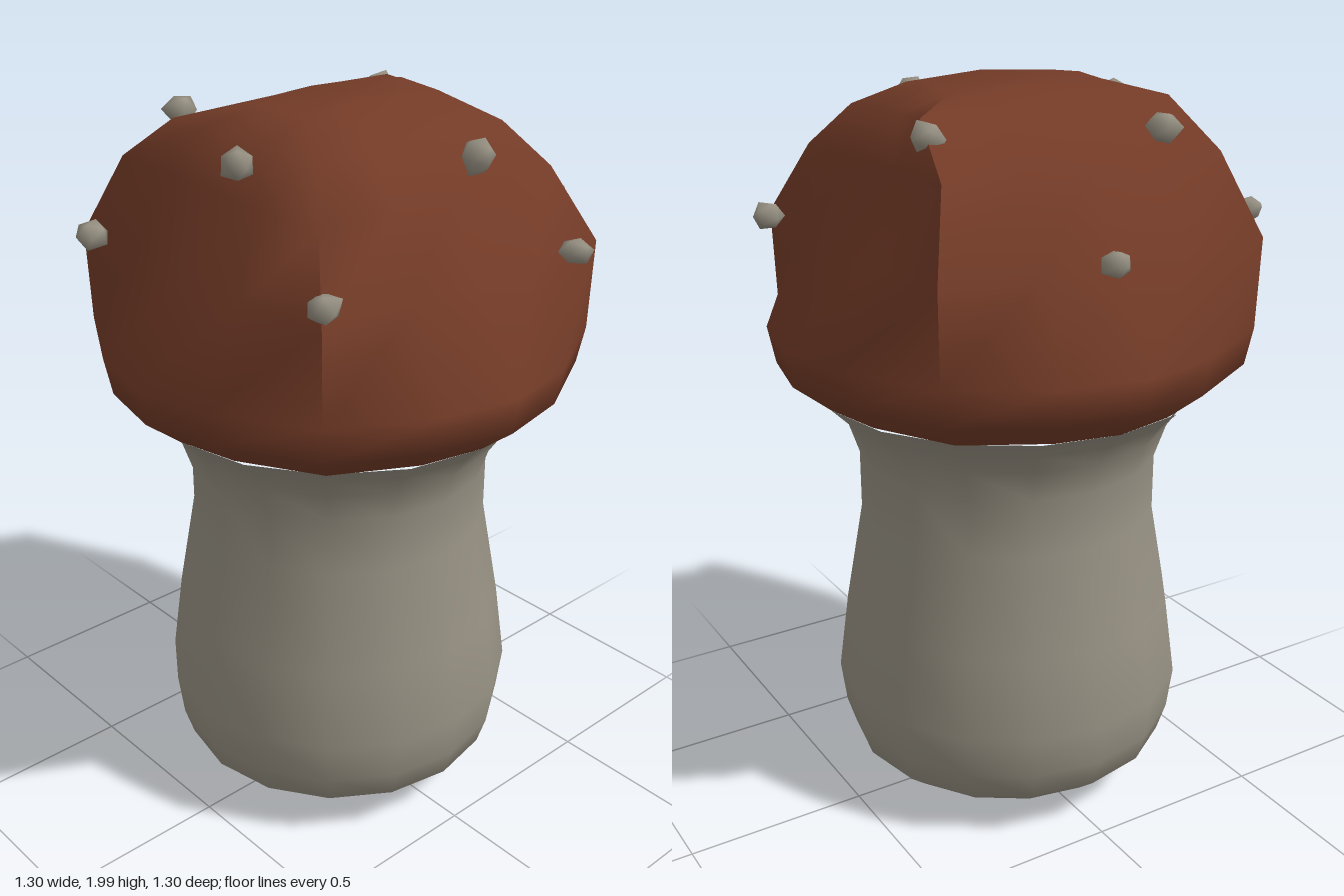
import * as THREE from 'three';
import { mergeVertices } from 'three/addons/utils/BufferGeometryUtils.js';

const capBrown = new THREE.MeshStandardMaterial({ color: 0x733b27 });
const paleStem = new THREE.MeshStandardMaterial({ color: 0x979183 });
capBrown.name = 'capBrown';
paleStem.name = 'paleStem';

// One cap ring: front corner, back corner, side middle [x, y], front and back middle [y, z], bulge
const round = (r, y) => {
  const c = r * 0.715;
  return { f: [c, y, c], b: [c, y, -c], x: [r, y], zf: [y, r], zb: [y, -r], bulge: r * 0.06 };
};
const capRings = [
  round(0.53, 1.2),
  round(0.63, 1.28),
  round(0.65, 1.38),
  { f: [0.47, 1.62, 0.47], b: [0.47, 1.62, -0.47], x: [0.51, 1.62], zf: [1.62, 0.5], zb: [1.62, -0.51], bulge: 0.005 },
  { f: [0.39, 1.81, 0.37], b: [0.4, 1.83, -0.37], x: [0.425, 1.83], zf: [1.82, 0.4], zb: [1.82, -0.38], bulge: 0 },
  { f: [0.31, 1.92, 0.27], b: [0.36, 1.95, -0.2], x: [0.35, 1.94], zf: [1.94, 0.29], zb: [1.94, -0.25], bulge: 0 },
  { f: [0.22, 1.985, 0.13], b: [0.23, 1.98, -0.1], x: [0.22, 1.995], zf: [2.0, 0.13], zb: [1.99, -0.1], bulge: 0 },
];

// Sixteen points around a ring, starting at the front corner on -x
function ringPoints(r) {
  const v = (x, y, z) => new THREE.Vector3(x, y, z);
  const keys = [
    v(-r.f[0], r.f[1], r.f[2]), v(0, ...r.zf), v(...r.f), v(r.x[0], r.x[1], 0),
    v(...r.b), v(0, ...r.zb), v(-r.b[0], r.b[1], r.b[2]), v(-r.x[0], r.x[1], 0),
  ];
  const out = [v(0, 0, 1), v(1, 0, 0), v(0, 0, -1), v(-1, 0, 0)];
  const points = [];
  for (let s = 0; s < 4; s++) {
    const a = keys[2 * s], m = keys[2 * s + 1], b = keys[(2 * s + 2) % 8];
    points.push(a, a.clone().lerp(m, 0.55).addScaledVector(out[s], r.bulge),
      m, b.clone().lerp(m, 0.55).addScaledVector(out[s], r.bulge));
  }
  return points;
}

// Cap skin: smooth, except for creases up the four corners
function capGeometry() {
  const rings = capRings.map(ringPoints);
  const positions = [], index = [], ids = new Map();
  const vertex = (ring, side, k) => {
    const column = (4 * side + k) % 16;
    const back = column === 8 || column === 12;
    const creased = k % 4 === 0 && (ring === 3 || (back && (ring === 4 || ring === 5)));
    const key = `${ring}/${column}/${creased ? side : ''}`;
    if (!ids.has(key)) {
      ids.set(key, positions.length / 3);
      positions.push(...rings[ring][column].toArray());
    }
    return ids.get(key);
  };
  const last = rings.length - 1;
  for (let side = 0; side < 4; side++) {
    for (let k = 0; k < 4; k++) {
      for (let i = 0; i < last; i++) {
        const a = vertex(i, side, k), b = vertex(i, side, k + 1);
        const c = vertex(i + 1, side, k + 1), d = vertex(i + 1, side, k);
        index.push(a, b, c, a, c, d);
      }
    }
  }
  // Shallow dip closing the top
  const centre = positions.length / 3;
  positions.push(0, 1.98, 0);
  for (let j = 0; j < 16; j++) {
    index.push(vertex(last, j >> 2, j % 4), vertex(last, j >> 2, (j % 4) + 1), centre);
  }
  const geometry = new THREE.BufferGeometry();
  geometry.setAttribute('position', new THREE.Float32BufferAttribute(positions, 3));
  geometry.setIndex(index);
  geometry.computeVertexNormals();
  return geometry;
}

// Irregular pebble, uneven by a seeded rule
function flakeGeometry(seed) {
  let g = new THREE.IcosahedronGeometry(0.043, 0);
  g.deleteAttribute('normal');
  g.deleteAttribute('uv');
  g = mergeVertices(g);
  const p = g.attributes.position;
  for (let i = 0; i < p.count; i++) {
    const n = Math.sin(seed * 12.9 + i * 78.2) * 43758.5;
    const s = 0.82 + 0.4 * (n - Math.floor(n));
    p.setXYZ(i, p.getX(i) * s, p.getY(i) * s, p.getZ(i) * s);
  }
  g.computeVertexNormals();
  return g;
}

export function createModel() {
  const group = new THREE.Group();
  group.name = 'mushroom';
  const add = (geometry, material, name) => {
    const mesh = new THREE.Mesh(geometry, material);
    mesh.name = name;
    group.add(mesh);
    return mesh;
  };

  // Stem, flaring out to meet the cap
  const profile = [
    [0, 0.01], [0.16, 0.02], [0.3, 0.04], [0.39, 0.09], [0.45, 0.14], [0.475, 0.22], [0.49, 0.34],
    [0.46, 0.56], [0.41, 0.84], [0.41, 1.0], [0.44, 1.09], [0.48, 1.15], [0.53, 1.2],
  ].map(([x, y]) => new THREE.Vector2(x, y));
  add(new THREE.LatheGeometry(profile, 16), paleStem, 'stem');

  add(capGeometry(), capBrown, 'cap');

  // Flakes hovering around the cap in two rows
  const flakes = [
    [0.05, 1.91, 0.43], [-0.415, 1.91, 0.12], [-0.2, 1.91, -0.39], [0.36, 1.91, -0.24],
    [-0.53, 1.66, -0.335], [0.09, 1.66, -0.615], [0.57, 1.66, 0.24], [0.27, 1.66, 0.56], [-0.44, 1.66, 0.44],
  ];
  flakes.forEach(([x, y, z], i) => {
    const flake = add(flakeGeometry(i + 1), paleStem, 'flake' + (i + 1));
    flake.position.set(x, y, z);
    flake.rotation.y = i * 0.9;
    if (y < 1.8) flake.scale.y = 0.85;
  });
  return group;
}
